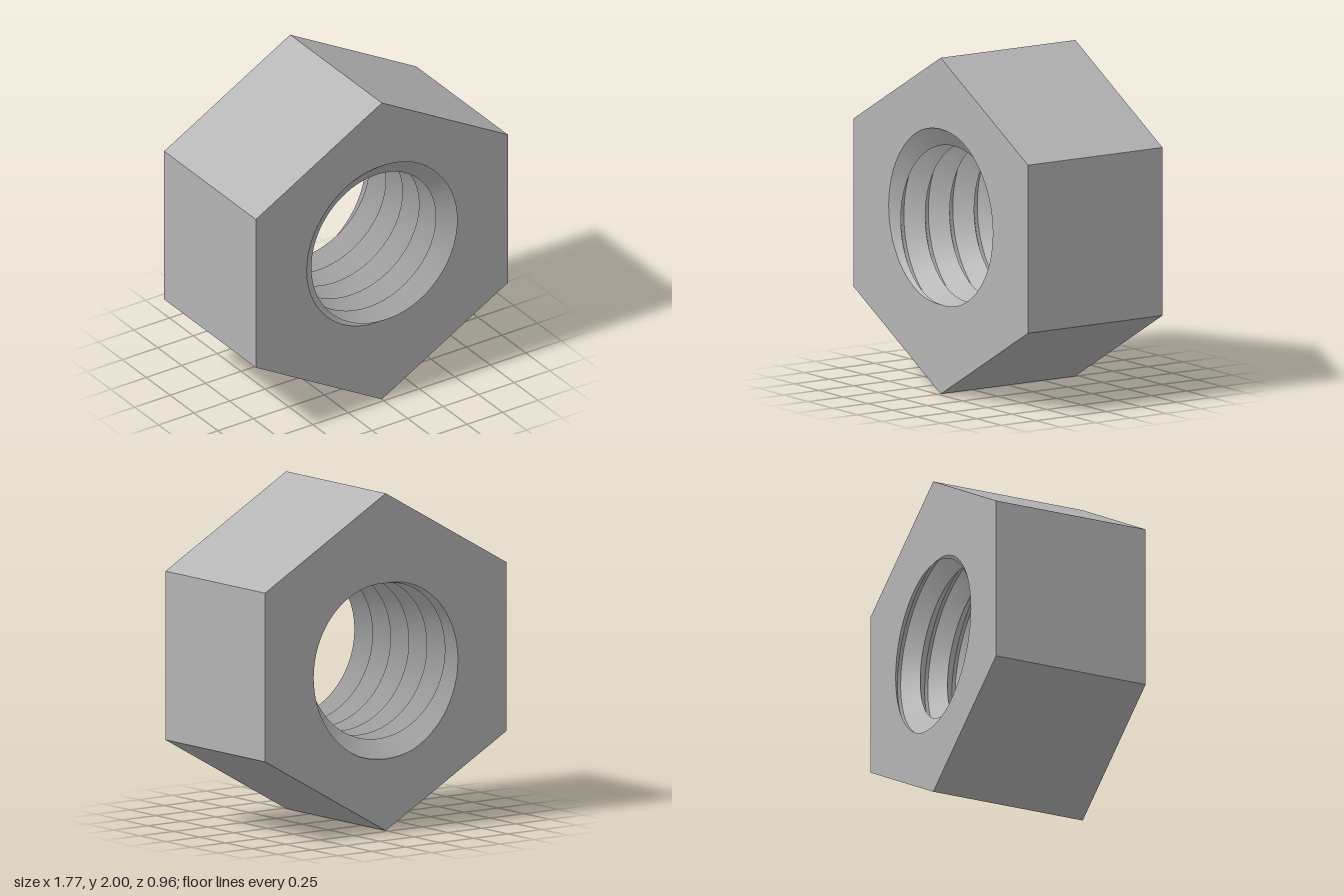
import * as THREE from 'three';

const HALF = 0.48;            // half thickness
const TURNS = 5.5;            // thread turns through the bore
const PITCH = (2 * HALF) / TURNS;
const CREST = 0.467, DEPTH = 0.108, FLANK = 0.44;
const SEG = 72;

const HEX = [[0, 1], [-0.887, 0.5], [-0.887, -0.5], [0, -1], [0.887, -0.5], [0.887, 0.5]];

// bore radius at turn fraction u (0 = bottom, counter-clockwise) and depth z
function boreRadius(u, z) {
  const s = (z - HALF) / PITCH - u;
  const t = s - Math.floor(s);
  return CREST + DEPTH * Math.min(1, Math.min(t, 1 - t) / FLANK);
}

function borePoint(u, z) {
  const a = u * Math.PI * 2 - Math.PI / 2;
  const r = boreRadius(u, z);
  return [r * Math.cos(a), r * Math.sin(a), z];
}

function makeGeometry(pos, index) {
  const g = new THREE.BufferGeometry();
  g.setAttribute('position', new THREE.Float32BufferAttribute(pos, 3));
  g.setIndex(index);
  g.computeVertexNormals();
  return g;
}

// hexagonal end face whose hole follows the thread where it runs out
function endFace(side) {
  const shape = new THREE.Shape(HEX.map(([x, y]) => new THREE.Vector2(x, y)));
  const hole = [];
  for (let i = 0; i < SEG; i++) {
    const [x, y] = borePoint(i / SEG, side * HALF);
    hole.push(new THREE.Vector2(x * side, y));
  }
  shape.holes.push(new THREE.Path(hole));
  const g = new THREE.ShapeGeometry(shape);
  g.translate(0, 0, HALF);
  if (side < 0) g.rotateY(Math.PI);
  return g;
}

// six flat sides
function hexSides() {
  const pos = [], index = [];
  HEX.forEach(([x, y], i) => {
    const [x2, y2] = HEX[(i + 1) % 6];
    const n = i * 4;
    pos.push(x, y, -HALF, x2, y2, -HALF, x, y, HALF, x2, y2, HALF);
    index.push(n, n + 1, n + 2, n + 1, n + 3, n + 2);
  });
  return makeGeometry(pos, index);
}

// helical thread: separate strips keep the crests sharp, trimmed at both ends
function thread() {
  const pos = [], index = [];
  const knots = [0, FLANK, 1 - FLANK, 1];
  const trim = (z) => THREE.MathUtils.clamp(z, -HALF, HALF);
  for (let k = -Math.ceil(TURNS) - 1; k <= 0; k++) {
    for (let j = 0; j < 3; j++) {
      const base = pos.length / 3;
      for (let i = 0; i <= SEG; i++) {
        const u = i / SEG;
        for (const t of [knots[j], knots[j + 1]]) {
          pos.push(...borePoint(u, trim(HALF + PITCH * (k + u + t))));
        }
        if (i < SEG) {
          const a = base + i * 2;
          index.push(a, a + 1, a + 2, a + 2, a + 1, a + 3);
        }
      }
    }
  }
  return makeGeometry(pos, index);
}

export function createModel() {
  const steel = new THREE.MeshStandardMaterial({ color: 0xb4b4b4 });
  steel.name = 'steel grey';

  const nut = new THREE.Group();
  nut.name = 'hexNut';
  const add = (name, geometry) => {
    const mesh = new THREE.Mesh(geometry, steel);
    mesh.name = name;
    mesh.position.y = 1;
    nut.add(mesh);
  };
  add('frontFace', endFace(1));
  add('backFace', endFace(-1));
  add('hexSides', hexSides());
  add('internalThread', thread());
  return nut;
}
